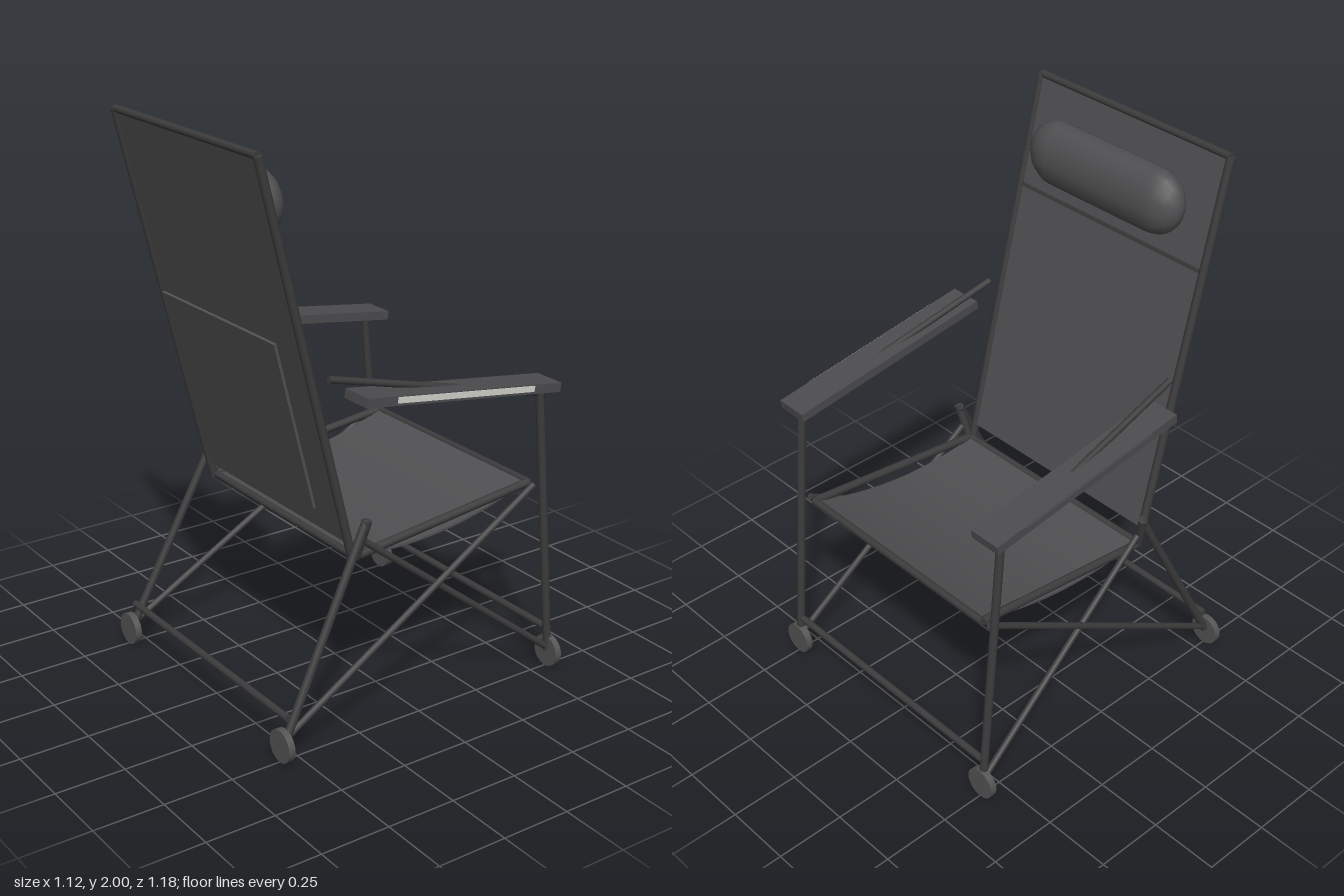
import * as THREE from 'three';

const V = (x, y, z) => new THREE.Vector3(x, y, z);
const mat = (name, color) => {
  const m = new THREE.MeshStandardMaterial({ color });
  m.name = name;
  return m;
};

export function createModel() {
  const model = new THREE.Group();
  model.name = 'foldingChair';
  const frame = mat('darkFrame', 0x3c3c3d);
  const fabric = mat('charcoalFabric', 0x505052);
  const armrest = mat('armrestGrey', 0x4c4c50);
  const rubber = mat('footGrey', 0x545454);
  const light = mat('lightStrip', 0xd2d2cc);

  const add = (name, geo, material, parent = model) => {
    const m = new THREE.Mesh(geo, material);
    m.name = name;
    parent.add(m);
    return m;
  };
  // Straight round tube between two points
  const tube = (name, a, b, r = 0.015) => {
    const d = b.clone().sub(a);
    const m = add(name, new THREE.CylinderGeometry(r, r, d.length(), 12), frame);
    m.position.copy(a).add(b).multiplyScalar(0.5);
    m.quaternion.setFromUnitVectors(V(0, 1, 0), d.normalize());
    return m;
  };

  // Parts mirrored on both sides
  for (const s of [1, -1]) {
    const p = (x, y, z) => V(s * x, y, z);
    tube('backrestRail', p(0.428, 0.61, 0.232), p(0.428, 1.985, 0.573));
    tube('seatRail', p(0.435, 0.615, 0.22), p(0.435, 0.7, -0.51));
    tube('armrestLeg', p(0.5, 1.06, -0.49), p(0.5, 0.06, -0.575));
    tube('backrestLeg', p(0.465, 0.75, 0.2), p(0.5, 0.07, 0.545));
    tube('hingeLink', p(0.472, 0.75, 0.2), p(0.438, 0.615, 0.222));
    tube('braceUp', p(0.5, 0.08, 0.54), p(0.465, 0.7, -0.51), 0.012);
    tube('braceDown', p(0.45, 0.67, 0.2), p(0.5, 0.08, -0.56), 0.012);
    tube('armTube', p(0.44, 1.25, 0.33), p(0.5, 1.05, -0.5), 0.012);

    // Sloping armrest with a side strip
    const arm = new THREE.Group();
    arm.name = 'armrest';
    arm.position.set(s * 0.484, 1.13, -0.143);
    arm.rotation.x = -0.14;
    model.add(arm);
    add('armrestPad', new THREE.BoxGeometry(0.12, 0.032, 0.81), armrest, arm);
    add('armrestStrip', new THREE.BoxGeometry(0.006, 0.02, 0.57), s > 0 ? light : armrest, arm)
      .position.set(s * 0.061, 0.003, 0);

    // Round disc feet
    for (const z of [0.557, -0.578]) {
      const foot = add('foot', new THREE.CylinderGeometry(0.058, 0.058, 0.024, 24), rubber);
      foot.rotation.x = Math.PI / 2;
      foot.position.set(s * 0.5, 0.058, z);
    }
  }

  // Cross bars
  for (const [name, x, y, z] of [
    ['backrestTopBar', 0.428, 1.985, 0.573],
    ['backrestBottomBar', 0.435, 0.615, 0.225],
    ['seatEdgeBar', 0.435, 0.7, -0.513],
    ['lowerBar', 0.5, 0.15, 0.535],
    ['lowerBar', 0.5, 0.15, -0.567],
  ]) tube(name, V(-x, y, z), V(x, y, z), 0.013);

  // Backrest: fabric, pocket, seam and headrest share one tilted group
  const back = new THREE.Group();
  back.name = 'backrest';
  back.position.set(0, 1.31, 0.406);
  back.rotation.x = Math.atan2(0.341, 1.375);
  model.add(back);
  add('backrestFabric', new THREE.BoxGeometry(0.83, 1.36, 0.012), fabric, back)
    .position.y = 0.02;
  add('backPocket', new THREE.BoxGeometry(0.685, 0.605, 0.01), fabric, back)
    .position.set(0, -0.235, 0.044);
  add('seam', new THREE.BoxGeometry(0.83, 0.012, 0.008), frame, back)
    .position.set(0, 0.3, -0.009);
  const pillow = add('headrestPillow', new THREE.CapsuleGeometry(0.115, 0.45, 6, 14), fabric);
  pillow.rotation.set(0.12, 0, Math.PI / 2, 'XYZ');
  pillow.scale.set(1, 1, 0.64);
  pillow.position.set(0, 1.795, 0.455);

  // Sagging seat sheet
  const seat = new THREE.BoxGeometry(0.85, 0.008, 0.73, 1, 1, 12);
  const pos = seat.attributes.position;
  for (let i = 0; i < pos.count; i++) {
    const t = 0.5 - pos.getZ(i) / 0.73;
    pos.setY(i, pos.getY(i) + 0.615 + 0.087 * t - 0.05 * 4 * t * (1 - t));
  }
  seat.computeVertexNormals();
  add('seatFabric', seat, fabric).position.z = -0.147;

  return model;
}
